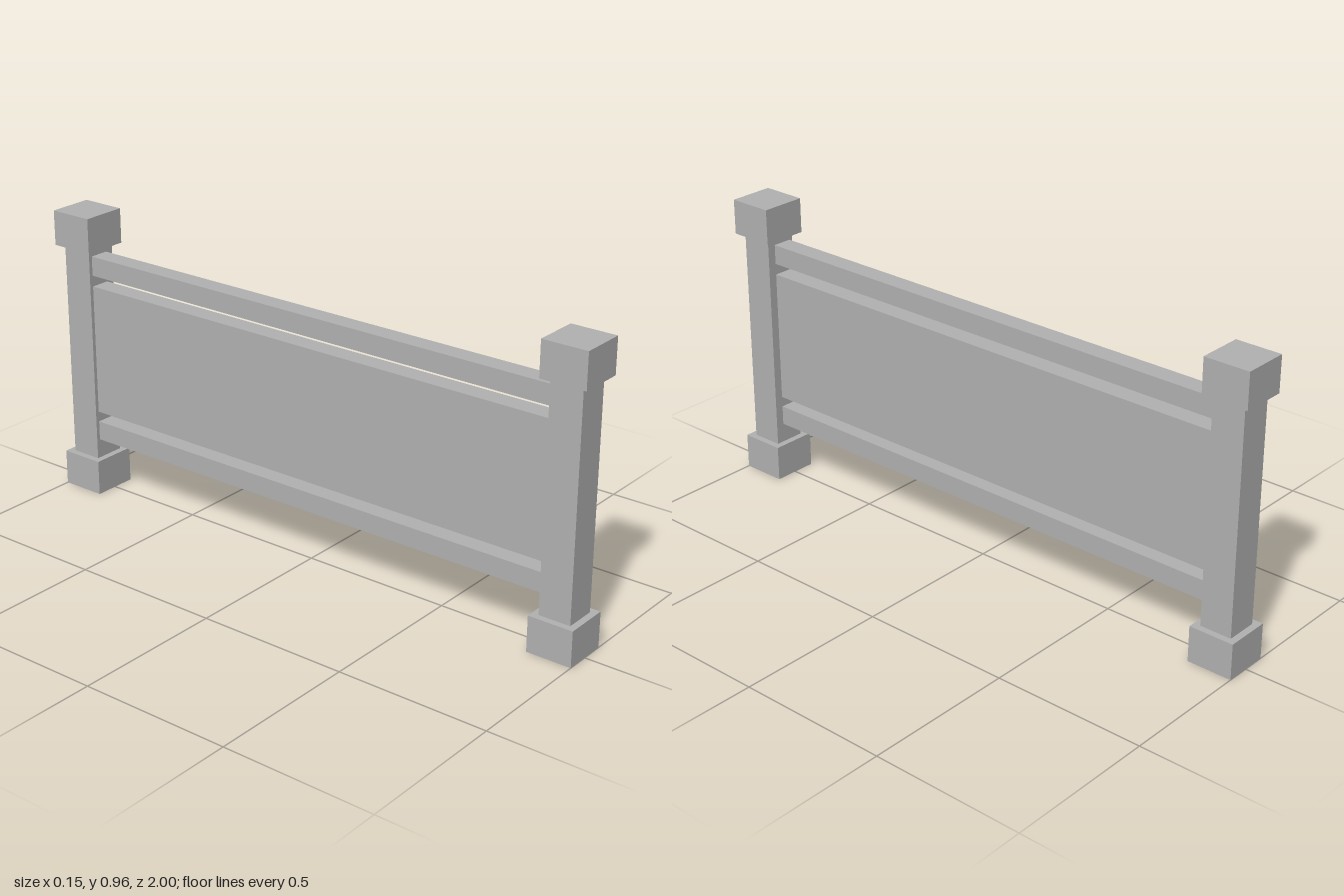
import * as THREE from 'three';

export function createModel() {
  const model = new THREE.Group();
  model.name = 'fence';
  const stone = new THREE.MeshStandardMaterial({ color: 0xb2b2b2, side: THREE.DoubleSide });
  stone.name = 'grey stone';

  // Box spanning y0..y1, centred on x and z
  function block(parent, name, width, y0, y1, depth, x = 0, z = 0) {
    const mesh = new THREE.Mesh(new THREE.BoxGeometry(width, y1 - y0, depth), stone);
    mesh.name = name;
    mesh.position.set(x, (y0 + y1) / 2, z);
    parent.add(mesh);
    return mesh;
  }

  // Square posts at both ends, each with a cap and a hollow foot
  for (const side of [1, -1]) {
    const post = new THREE.Group();
    post.name = side > 0 ? 'frontPost' : 'backPost';
    post.position.z = side * 0.925;
    model.add(post);
    block(post, 'shaft', 0.106, 0.118, 0.847, 0.106);
    block(post, 'cap', 0.15, 0.847, 0.963, 0.15);
    const foot = block(post, 'foot', 0.15, 0, 0.118, 0.15);
    // The foot is open underneath: drop its bottom face
    const index = Array.from(foot.geometry.index.array);
    index.splice(18, 6);
    foot.geometry.setIndex(index);
    foot.geometry.clearGroups();
  }

  // Rails and panel between the posts, set slightly to one side
  const bars = [['lowerRail', 0.183, 0.248], ['panel', 0.283, 0.723], ['upperRail', 0.76, 0.825]];
  for (const [name, y0, y1] of bars) block(model, name, 0.065, y0, y1, 1.744, -0.008);

  return model;
}
